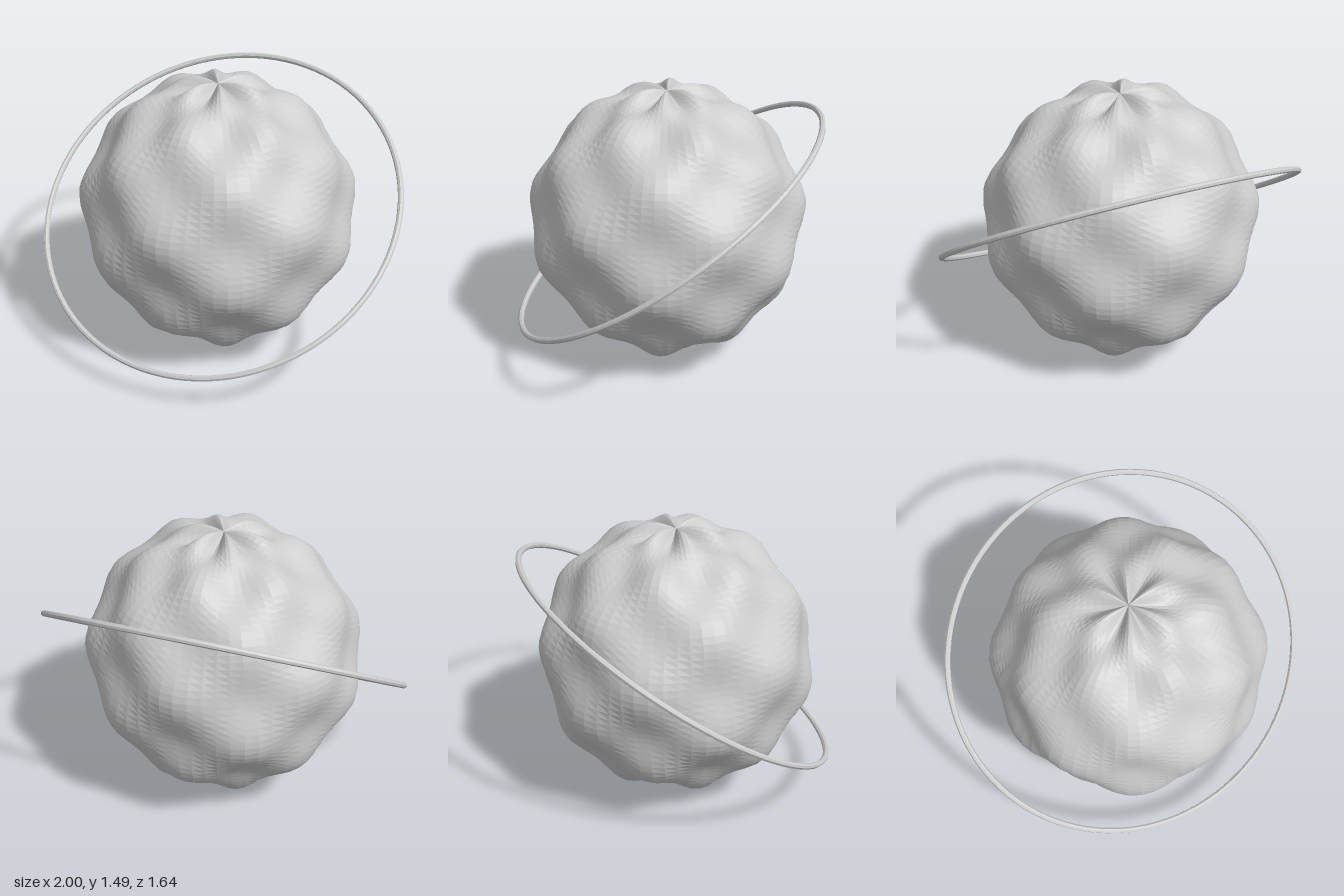
import * as THREE from 'three';

const CENTER_Y = 0.743;
const RADIUS = 0.721;
const BUMP = 0.033;

// Sphere whose radius ripples with latitude and longitude
function makeBumpySphere() {
  const geometry = new THREE.SphereGeometry(1, 64, 64);
  const pos = geometry.attributes.position;
  const v = new THREE.Vector3();
  for (let i = 0; i < pos.count; i++) {
    v.fromBufferAttribute(pos, i).normalize();
    const polar = Math.acos(THREE.MathUtils.clamp(v.y, -1, 1));
    const around = Math.atan2(v.z, v.x);
    v.multiplyScalar(RADIUS + BUMP * Math.sin(8 * polar) * Math.cos(6 * around));
    pos.setXYZ(i, v.x, v.y, v.z);
  }
  geometry.computeVertexNormals();
  return geometry;
}

export function createModel() {
  const group = new THREE.Group();
  const material = new THREE.MeshStandardMaterial({ color: 0xcccccc, flatShading: true });

  // Rippled body
  const body = new THREE.Mesh(makeBumpySphere(), material);
  body.name = 'bumpySphere';
  body.position.y = CENTER_Y;
  group.add(body);

  // Thin ring, low at the front and high at the back
  const ring = new THREE.Mesh(new THREE.TorusGeometry(0.984, 0.016, 8, 100), material);
  ring.name = 'orbitRing';
  ring.position.y = CENTER_Y + 0.005;
  ring.rotation.x = Math.PI / 2 + THREE.MathUtils.degToRad(35);
  group.add(ring);

  return group;
}
